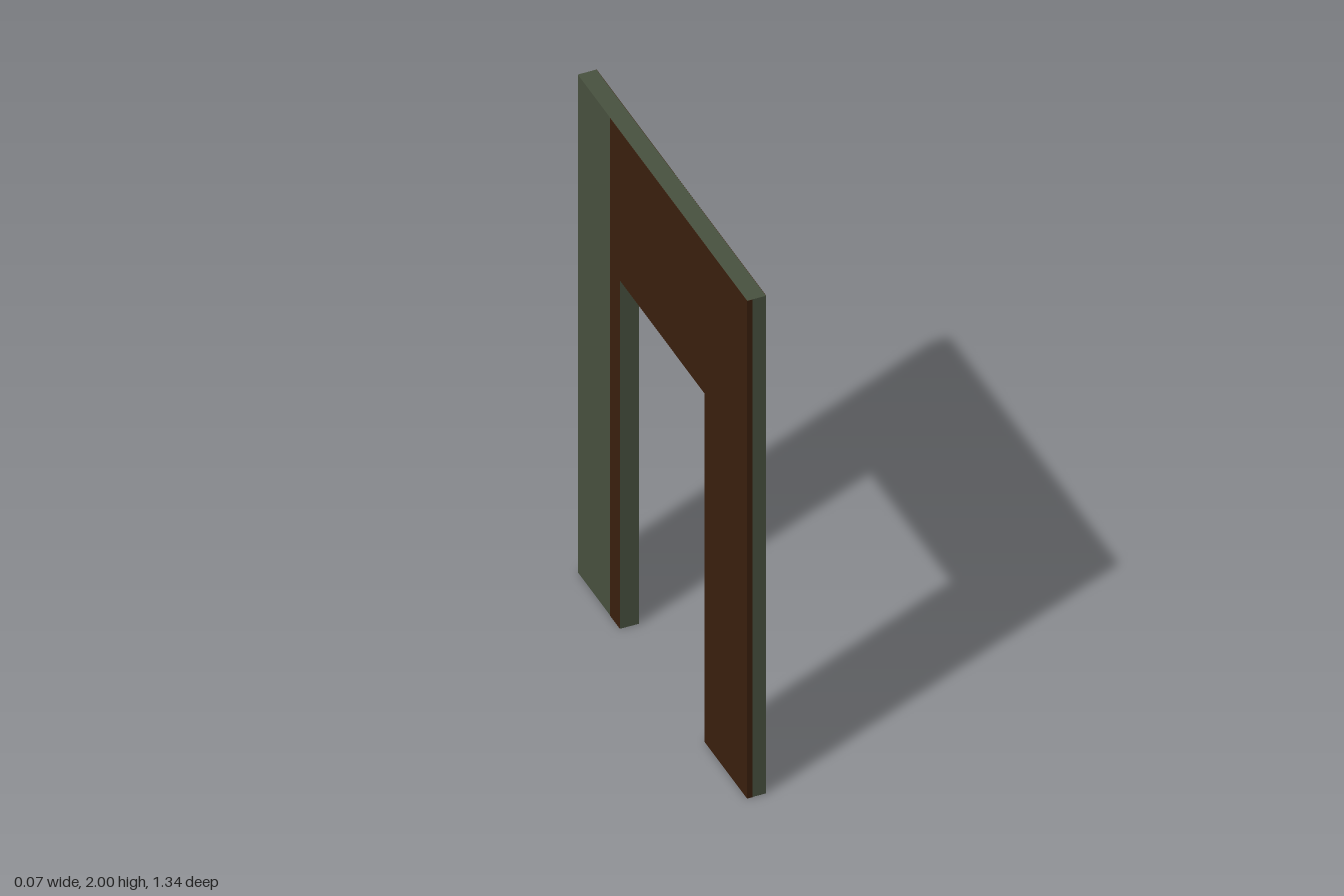
import * as THREE from 'three';

const H = 2, HALF = 0.667, HALF_DOOR = 0.333, DOOR_H = 1.4, T = 0.033, SKIN = 0.001;

const material = (name, color) => {
  const m = new THREE.MeshStandardMaterial({ color });
  m.name = name;
  return m;
};

export function createModel() {
  const green = material('wall green', 0x495240);
  const brown = material('dark brown', 0x3b200e);
  const tan = material('tan stripe', 0xb39c65);
  const group = new THREE.Group();
  group.name = 'doorwayWall';

  const add = (name, geometry, mat) => {
    const mesh = new THREE.Mesh(geometry, mat);
    mesh.name = name;
    group.add(mesh);
    return mesh;
  };

  // Doorway outline between two z limits, extruded along x from x0 to x1
  const archway = (zMin, zMax, x0, x1) => {
    const shape = new THREE.Shape([
      [-zMax, 0], [-HALF_DOOR, 0], [-HALF_DOOR, DOOR_H], [HALF_DOOR, DOOR_H],
      [HALF_DOOR, 0], [-zMin, 0], [-zMin, H], [-zMax, H],
    ].map(([u, y]) => new THREE.Vector2(u, y)));
    return new THREE.ExtrudeGeometry(shape, { depth: x1 - x0, bevelEnabled: false })
      .translate(0, 0, x0)
      .rotateY(Math.PI / 2);
  };

  // Thin painted band on the +x face
  const band = (name, z0, z1, y0, y1, mat) => {
    add(name, new THREE.BoxGeometry(SKIN, y1 - y0, z1 - z0), mat)
      .position.set(T + SKIN / 2, (y0 + y1) / 2, (z0 + z1) / 2);
  };

  // Wall body with the door opening
  add('wall', archway(-HALF, HALF, -T, T), green);

  // Brown panelling on the -x face, stopping short of the back edge
  add('sidePanelling', archway(-0.41, HALF, -T - SKIN, -T), brown);

  // Brown edge strip on the front end
  add('frontEdgeStrip', new THREE.BoxGeometry(0.018, H, SKIN), brown)
    .position.set(-T + 0.009, H / 2, HALF + SKIN / 2);

  // Top band, then a stripe and a base board on each leg
  band('topBand', -HALF, HALF, 1.845, H, brown);
  for (const [side, z0, z1] of [['front', HALF_DOOR, HALF], ['back', -HALF, -HALF_DOOR]]) {
    band(side + 'Stripe', z0, z1, 0.515, 0.548, tan);
    band(side + 'BaseBoard', z0, z1, 0, 0.4, brown);
  }

  return group;
}
